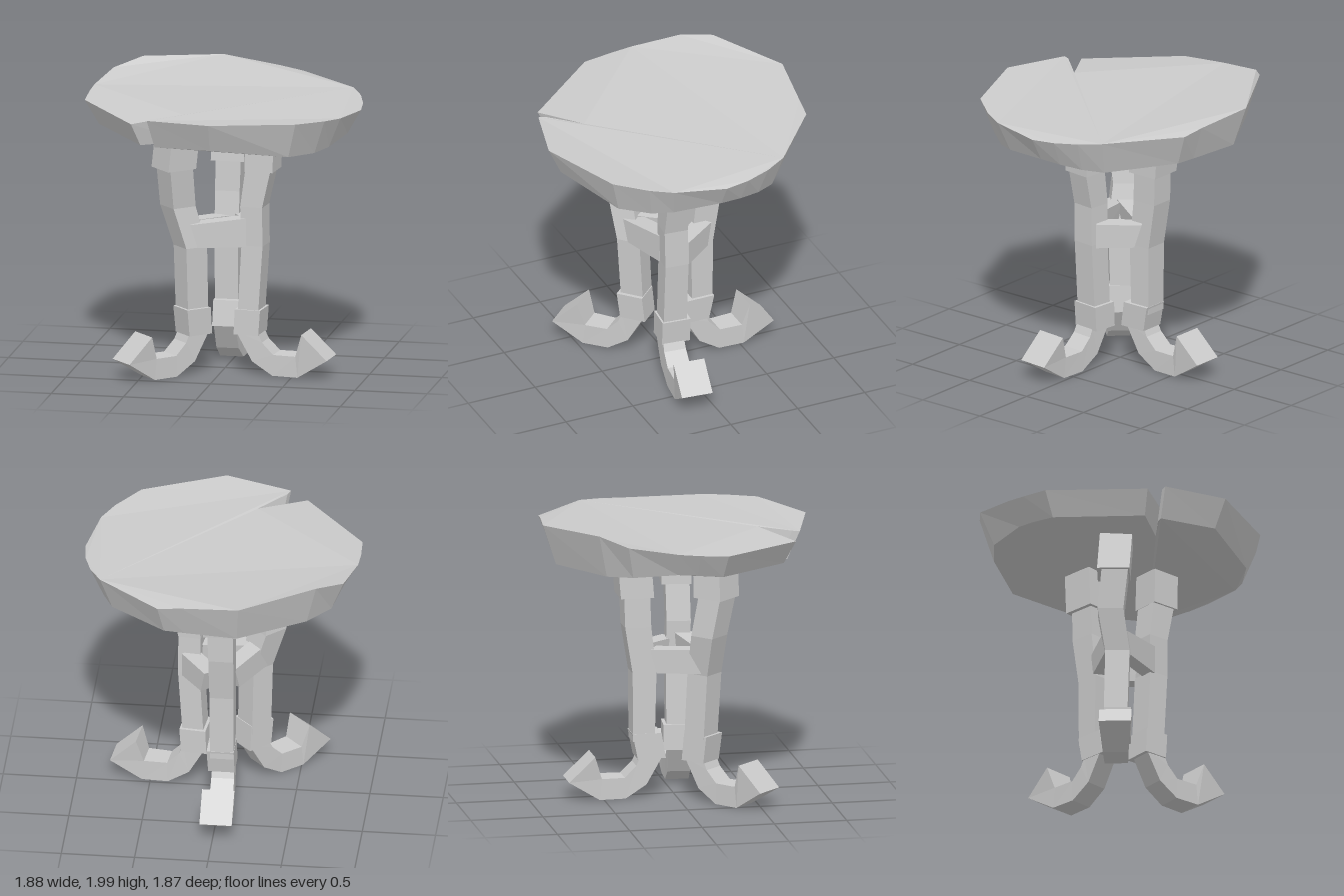
import * as THREE from 'three';

const V = (x, y, z) => new THREE.Vector3(x, y, z);
const material = new THREE.MeshStandardMaterial({ color: 0xcccccc, flatShading: true });

// Closed solid through rings of corners; end caps may be concave.
function loft(name, rings, capShape) {
  const n = rings[0].length, last = rings.length - 1;
  const cap = capShape ? THREE.ShapeUtils.triangulateShape(capShape, []) : [[0, 1, 2], [0, 2, 3]];
  const tris = [];
  for (let r = 0; r < last; r++) {
    for (let i = 0; i < n; i++) {
      const j = (i + 1) % n;
      const a = rings[r][i], b = rings[r][j], c = rings[r + 1][j], d = rings[r + 1][i];
      tris.push([a, b, c], [a, c, d]);
    }
  }
  // caps wind against / with the ring order
  const flipCap = capShape && THREE.ShapeUtils.isClockWise(capShape) !==
    THREE.ShapeUtils.isClockWise(cap[0].map((k) => capShape[k]));
  for (const t of cap) {
    const [a, b, c] = flipCap ? [t[0], t[2], t[1]] : t;
    tris.push([rings[0][a], rings[0][c], rings[0][b]]);
    tris.push([rings[last][a], rings[last][b], rings[last][c]]);
  }
  // turn the faces outward
  let volume = 0;
  for (const [a, b, c] of tris) volume += a.dot(b.clone().cross(c));
  const pts = tris.flatMap(([a, b, c]) => (volume < 0 ? [a, c, b] : [a, b, c]));
  const geometry = new THREE.BufferGeometry().setFromPoints(pts);
  geometry.computeVertexNormals();
  const mesh = new THREE.Mesh(geometry, material);
  mesh.name = name;
  return mesh;
}

// Warped round top with a wedge split: x, z, top height, bottom height
function tableTop() {
  const rim = [
    [-0.2, -0.94, 1.97, 1.69], [0.2, -0.88, 1.925, 1.68], [0.36, -0.86, 1.9, 1.68],
    [0.79, -0.49, 1.885, 1.645], [0.87, -0.34, 1.87, 1.655], [0.92, -0.17, 1.855, 1.67],
    [0.94, 0, 1.845, 1.68], [0.87, 0.36, 1.865, 1.655], [0.79, 0.51, 1.875, 1.64],
    [0.63, 0.71, 1.89, 1.645], [0.07, 0.93, 1.905, 1.71], [-0.38, 0.8, 1.89, 1.69],
    [-0.36, 0.75, 1.89, 1.69], [-0.18, 0.55, 1.885, 1.69], [-0.5, 0.75, 1.85, 1.69],
    [-0.93, 0.2, 1.875, 1.71], [-0.94, 0, 1.89, 1.73], [-0.935, -0.15, 1.905, 1.74],
    [-0.87, -0.48, 1.95, 1.72], [-0.7, -0.65, 2.0, 1.7],
  ];
  const top = rim.map(([x, z, y]) => V(x, y, z));
  const bottom = rim.map(([x, z, , y]) => V(x * 0.9, y, z * 0.9));
  return loft('tableTop', [bottom, top], rim.map(([x, z]) => new THREE.Vector2(x, z)));
}

// Vertical post; each section is y, centre x, centre z, radial size, side size
function post(name, angle, sections) {
  const d = V(Math.cos(angle), 0, Math.sin(angle)), s = V(-d.z, 0, d.x);
  return loft(name, sections.map(([y, x, z, w, t]) =>
    [[-1, -1], [1, -1], [1, 1], [-1, 1]].map(([u, v]) =>
      V(x, y, z).addScaledVector(d, u * w / 2).addScaledVector(s, v * t / 2))));
}

// Curled foot: lower r, y, upper r, y, side size
const FOOT = [
  [-0.075, 0.3, 0.08, 0.3, 0.15], [0.04, 0.1, 0.11, 0.235, 0.155],
  [0.185, 0.01, 0.19, 0.155, 0.16], [0.365, 0.01, 0.35, 0.155, 0.175],
  [0.58, 0.145, 0.4, 0.315, 0.22],
];
function foot(angle, x, z) {
  const d = V(Math.cos(angle), 0, Math.sin(angle)), s = V(-d.z, 0, d.x);
  const at = (r, y, side) => V(x, y, z).addScaledVector(d, r).addScaledVector(s, side);
  return loft('foot', FOOT.map(([r0, y0, r1, y1, t]) =>
    [at(r0, y0, -t / 2), at(r0, y0, t / 2), at(r1, y1, t / 2), at(r1, y1, -t / 2)]));
}

// Legs: heading in degrees from +x toward +z, then the sections of each piece
const LEGS = [
  {
    name: 'leftLeg', heading: 6, foot: [0.187, 0.08],
    cap: [[1.42, 0.275, 0.07, 0.2, 0.205], [1.72, 0.285, 0.07, 0.2, 0.2]],
    shaft: [[0.4, 0.195, 0.07, 0.145, 0.165], [0.9, 0.225, 0.07, 0.15, 0.165],
      [1.17, 0.22, 0.075, 0.155, 0.165], [1.45, 0.27, 0.075, 0.18, 0.165]],
    collar: [[0.28, 0.187, 0.065, 0.175, 0.2], [0.455, 0.197, 0.065, 0.18, 0.2]],
  },
  {
    name: 'rightLeg', heading: 137, foot: [-0.185, 0.15],
    cap: [[1.44, -0.307, 0.237, 0.22, 0.22], [1.72, -0.278, 0.237, 0.22, 0.22]],
    shaft: [[0.4, -0.198, 0.15, 0.16, 0.16], [0.89, -0.205, 0.175, 0.165, 0.165],
      [1.17, -0.288, 0.192, 0.175, 0.175], [1.47, -0.3, 0.248, 0.18, 0.18]],
    collar: [[0.28, -0.185, 0.15, 0.18, 0.18], [0.465, -0.195, 0.168, 0.185, 0.185]],
  },
  {
    name: 'backLeg', heading: -90, foot: [-0.025, -0.165],
    cap: [[1.41, -0.017, -0.272, 0.23, 0.23], [1.72, -0.012, -0.295, 0.23, 0.22]],
    shaft: [[0.4, -0.02, -0.222, 0.15, 0.16], [0.88, -0.02, -0.218, 0.165, 0.165],
      [1.2, -0.02, -0.262, 0.18, 0.17], [1.44, -0.015, -0.27, 0.18, 0.175]],
    collar: [[0.28, -0.015, -0.168, 0.195, 0.18], [0.455, -0.01, -0.2, 0.2, 0.185]],
  },
];

// Brace between two legs: outer face ends, heights at each end, slanted start
function brace(name, [x0, z0], [x1, z1], [lo0, hi0], [lo1, hi1]) {
  const along = V(x1 - x0, 0, z1 - z0).normalize();
  const inward = V(along.z, 0, -along.x);
  if (inward.dot(V(x0 + x1, 0, z0 + z1)) > 0) inward.negate();
  const end = (x, z, lo, hi, slant) => {
    const a = V(x, lo, z).addScaledVector(along, slant), b = V(x, hi, z);
    return [a, b, b.clone().addScaledVector(inward, 0.12), a.clone().addScaledVector(inward, 0.1)];
  };
  return loft(name, [end(x0, z0, lo0, hi0, 0.05), end(x1, z1, lo1, hi1, 0)]);
}

export function createModel() {
  const model = new THREE.Group();
  model.name = 'table';
  model.add(tableTop());
  for (const leg of LEGS) {
    const group = new THREE.Group(), angle = THREE.MathUtils.degToRad(leg.heading);
    group.name = leg.name;
    for (const piece of ['cap', 'shaft', 'collar']) group.add(post(piece, angle, leg[piece]));
    group.add(foot(angle, ...leg.foot));
    model.add(group);
  }
  model.add(
    brace('frontBrace', [-0.19, 0.255], [0.175, 0.155], [0.89, 1.05], [0.89, 1.09]),
    brace('leftBrace', [0.1, -0.27], [0.28, -0.02], [0.89, 1.05], [0.88, 1.05]),
    brace('rightBrace', [-0.1, -0.18], [-0.29, 0.14], [0.88, 1.04], [0.9, 1.07]),
  );
  return model;
}
